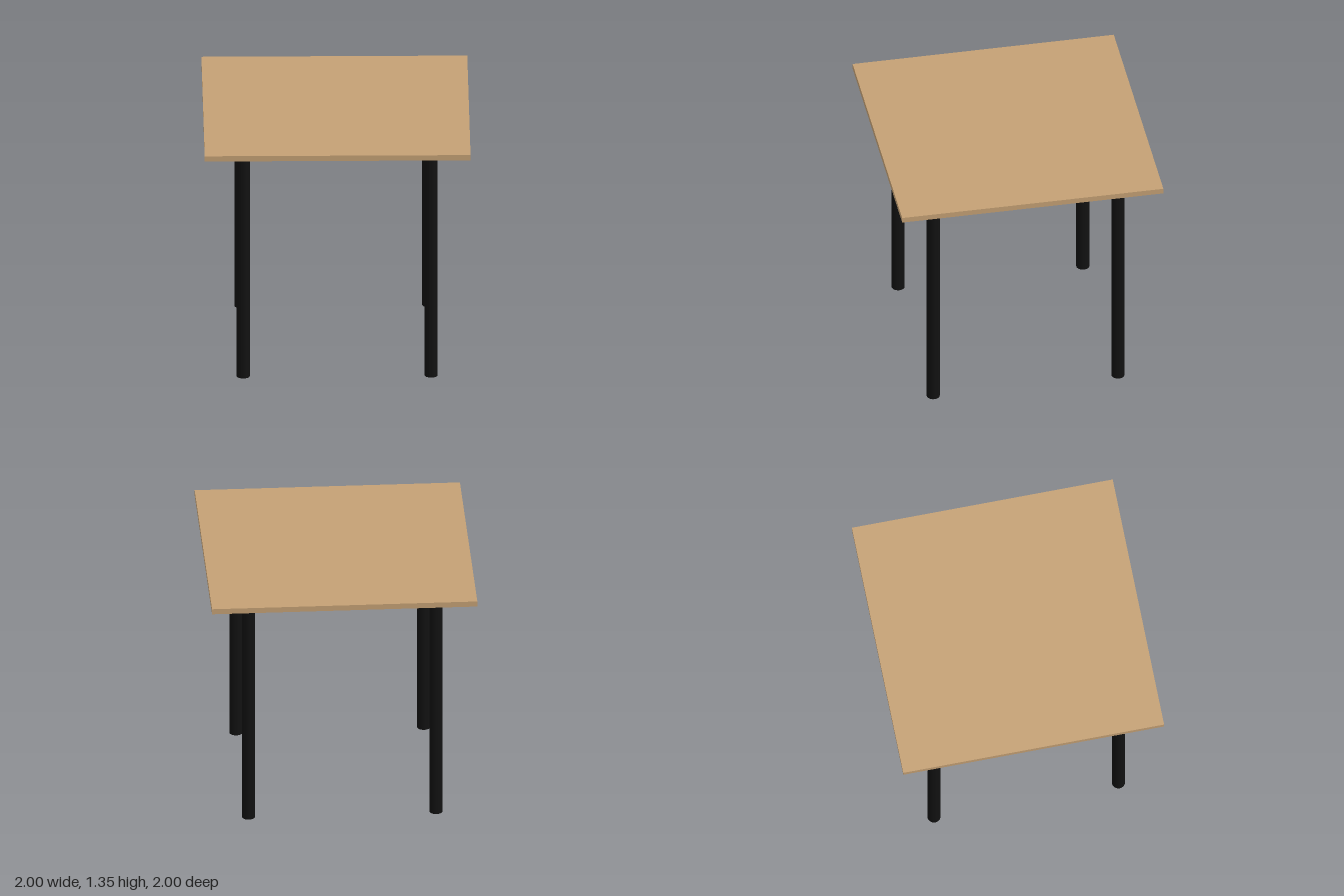
import * as THREE from 'three';

export function createModel() {
  const wood = new THREE.MeshStandardMaterial({ color: 0xc4a074 });
  wood.name = 'lightWood';
  const black = new THREE.MeshStandardMaterial({ color: 0x111111 });
  black.name = 'blackMetal';

  const legHeight = 1.315, legRadius = 0.035, topThickness = 0.03;
  const side = Math.SQRT2; // the square's diagonal is 2
  const legInset = 0.5; // leg distance from the centre along each side

  const table = new THREE.Group();
  table.name = 'table';

  // Thin square top
  const top = new THREE.Mesh(new THREE.BoxGeometry(side, topThickness, side), wood);
  top.name = 'tableTop';
  top.position.y = legHeight + topThickness / 2;
  table.add(top);

  // Four round legs, one near each corner
  const legGeometry = new THREE.CylinderGeometry(legRadius, legRadius, legHeight, 32);
  for (const [x, xName] of [[1, 'Left'], [-1, 'Right']]) {
    for (const [z, zName] of [[1, 'front'], [-1, 'back']]) {
      const leg = new THREE.Mesh(legGeometry, black);
      leg.name = `${zName}${xName}Leg`;
      leg.position.set(x * legInset, legHeight / 2, z * legInset);
      table.add(leg);
    }
  }

  // The whole table stands with a corner to the front
  table.rotation.y = Math.PI / 4;

  const model = new THREE.Group();
  model.name = 'squareTable';
  model.add(table);
  return model;
}
